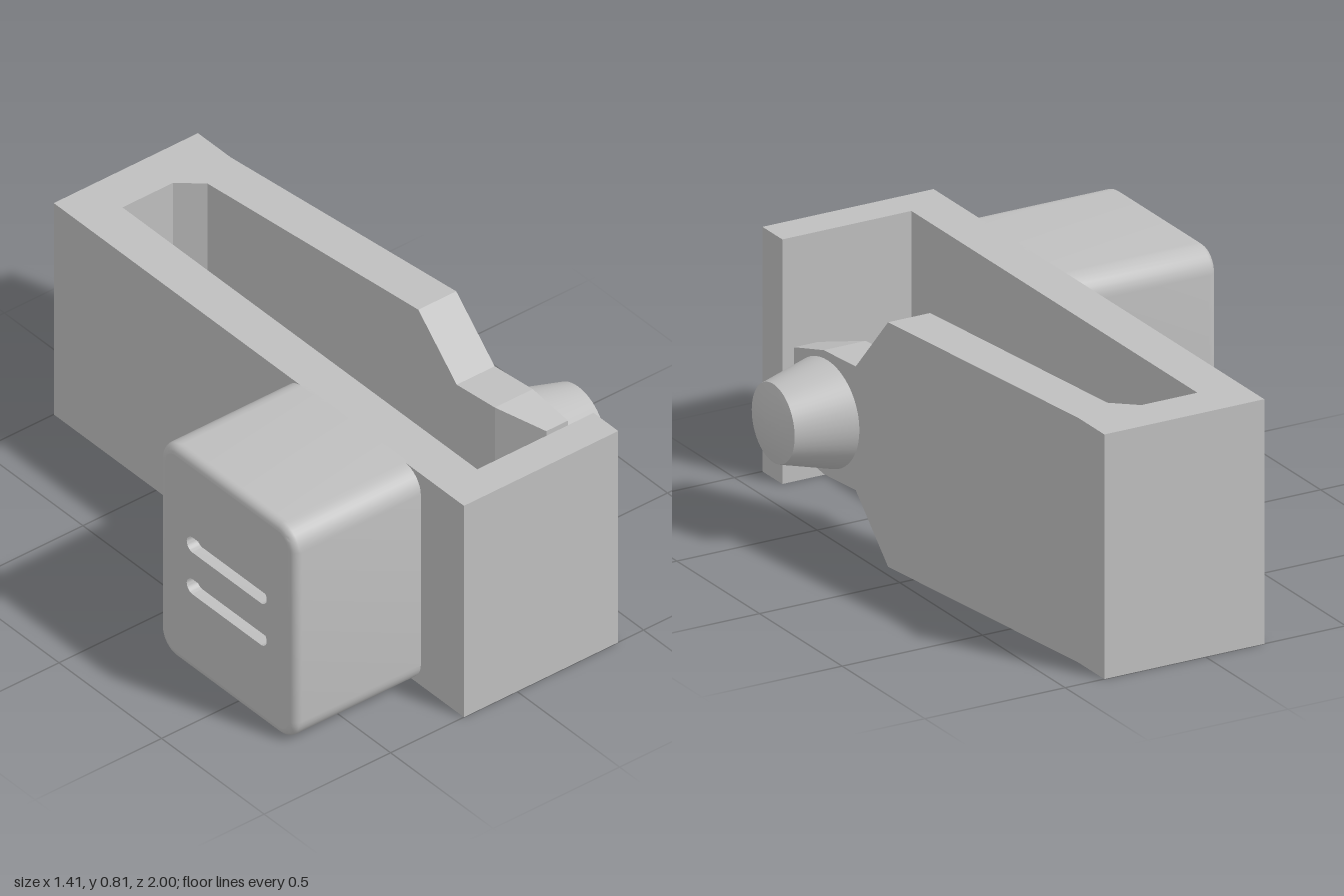
import * as THREE from 'three';
import { toCreasedNormals } from 'three/addons/utils/BufferGeometryUtils.js';

const H = 0.81; // overall height
const MID = H / 2;

// Skin a list of counter-clockwise rings ([x, y, z] points) in order, optionally capping the last one
function loft(rings, cap = false) {
  const n = rings[0].length;
  const index = [];
  for (let r = 0; r < rings.length - 1; r++) {
    for (let i = 0; i < n; i++) {
      const j = (i + 1) % n;
      const a = r * n + i, b = r * n + j, c = b + n, d = a + n;
      index.push(a, b, c, a, c, d);
    }
  }
  const last = (rings.length - 1) * n;
  if (cap) for (let i = 1; i < n - 1; i++) index.push(last, last + i, last + i + 1);
  const geo = new THREE.BufferGeometry();
  geo.setAttribute('position', new THREE.Float32BufferAttribute(rings.flat(2), 3));
  geo.setIndex(index);
  return toCreasedNormals(geo, 0.6);
}

// Counter-clockwise rounded rectangle outline as [x, y] points
function roundedRect(cx, cy, w, h, r, steps = 8) {
  const pts = [];
  [[1, 1], [-1, 1], [-1, -1], [1, -1]].forEach(([sx, sy], q) => {
    for (let i = 0; i <= steps; i++) {
      const a = (q + i / steps) * Math.PI / 2;
      pts.push([cx + sx * (w / 2 - r) + r * Math.cos(a), cy + sy * (h / 2 - r) + r * Math.sin(a)]);
    }
  });
  return pts;
}

const atDepth = (outline, z) => outline.map(([x, y]) => [x, y, z]);
const toVectors = (outline) => outline.map(([x, y]) => new THREE.Vector2(x, y));

export function createModel() {
  const group = new THREE.Group();
  const grey = new THREE.MeshStandardMaterial({ color: 0xbfbfbf });
  grey.name = 'grey plastic';

  const add = (name, geometry, parent = group) => {
    const mesh = new THREE.Mesh(geometry, grey);
    mesh.name = name;
    parent.add(mesh);
    return mesh;
  };

  // Bracket: plan outline in [x, z], extruded upwards
  const plan = [
    [-0.21, -1], [0.36, -1], [0.36, -0.84], [0.465, 0.13], [0.315, 0.13], [0.22, -0.78],
    [0.14, -0.85], [-0.06, -0.85], [-0.06, 0.88], [0.4, 0.88], [0.4, 1], [-0.21, 1],
  ];
  const bracket = new THREE.ExtrudeGeometry(
    new THREE.Shape(toVectors(plan.map(([x, z]) => [x, -z]))),
    { depth: H, bevelEnabled: false });
  bracket.rotateX(-Math.PI / 2);
  add('bracket', bracket);

  // Narrowing end of the spring arm: [z, inner x, outer x, half height]
  const stations = [
    [0.13, 0.315, 0.465, MID], [0.295, 0.333, 0.483, 0.205],
    [0.46, 0.35, 0.5, 0.205], [0.612, 0.43, 0.516, 0.165],
  ];
  const tip = loft(stations.map(([z, xi, xo, h]) => [
    [xi, MID - h, z], [xo, MID - h, z], [xo, MID + h, z], [xi, MID + h, z],
  ]), true);
  add('springArmTip', tip.toNonIndexed ? toCreasedNormals(tip, 0.05) : tip);

  // Tapered push button with a slightly domed end
  const profile = [[0, 0.465], [0.188, 0.465], [0.13, 0.68]];
  for (let i = 1; i <= 5; i++) {
    const r = 0.13 * (1 - i / 5);
    profile.push([r, 0.68 + 0.025 * (1 - (r / 0.13) ** 2)]);
  }
  const button = toCreasedNormals(new THREE.LatheGeometry(toVectors(profile), 48), 0.5);
  button.rotateZ(-Math.PI / 2);
  add('button', button).position.set(0, MID, 0.46);

  // Housing block, built along local +z and turned to face -x
  const housing = new THREE.Group();
  housing.name = 'housing';
  housing.rotation.y = -Math.PI / 2;
  group.add(housing);

  const END = 0.71, FILLET = 0.03, CZ = 0.46, W = 0.66, R = 0.08;
  const inset = (d) => roundedRect(CZ, MID, W - 2 * d, H - 2 * d, R - d);
  const rings = [atDepth(inset(0), 0.2)];
  for (let i = 0; i <= 5; i++) {
    const a = (i / 5) * Math.PI / 2;
    rings.push(atDepth(inset(FILLET * (1 - Math.cos(a))), END - FILLET + FILLET * Math.sin(a)));
  }
  add('housingSides', loft(rings), housing);

  // End face with two slots, each a shallow pocket
  const face = new THREE.Shape(toVectors(inset(FILLET)));
  for (const dy of [-0.08, 0.08]) {
    const slot = roundedRect(CZ, MID + dy, 0.39, 0.058, 0.0289);
    face.holes.push(new THREE.Path(toVectors(slot)));
    add('slot', loft([atDepth(slot, END), atDepth(slot, END - 0.04)], true), housing);
  }
  add('housingFace', new THREE.ShapeGeometry(face), housing).position.z = END;

  return group;
}
